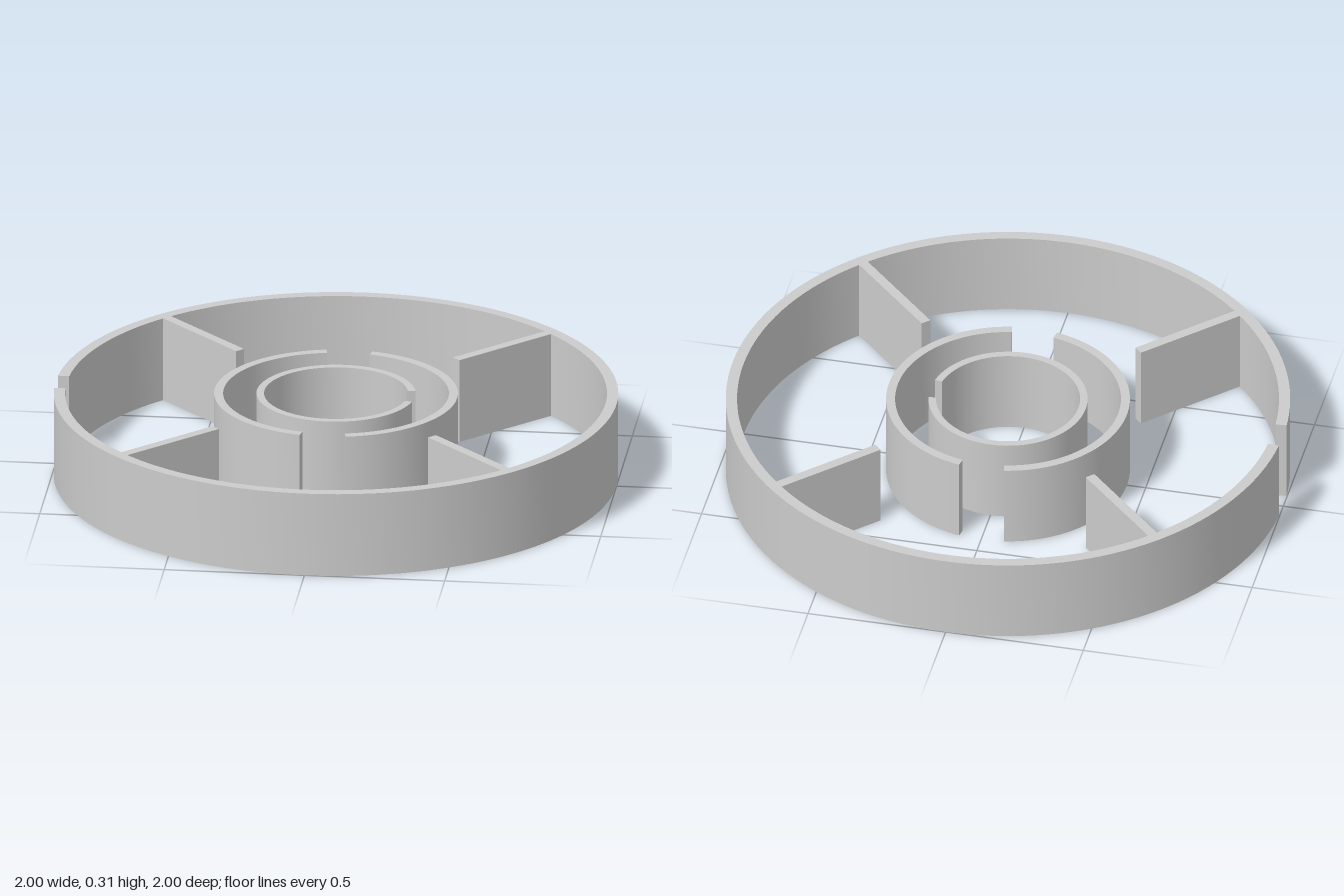
import * as THREE from 'three';
import { toCreasedNormals } from 'three/addons/utils/BufferGeometryUtils.js';

const HEIGHT = 0.31;
const material = new THREE.MeshStandardMaterial({ color: 0xcccccc });

// Upright curved wall between two radii, swept from angle a0 to a1 (radians, seen from above)
function arcWall(name, inner, outer, a0, a1) {
  const shape = new THREE.Shape();
  shape.absarc(0, 0, outer, a0, a1, false);
  shape.absarc(0, 0, inner, a1, a0, true);
  const extruded = new THREE.ExtrudeGeometry(shape, {
    depth: HEIGHT, bevelEnabled: false, curveSegments: Math.ceil((a1 - a0) * 11),
  });
  extruded.rotateX(-Math.PI / 2);
  const mesh = new THREE.Mesh(toCreasedNormals(extruded, Math.PI / 6), material);
  mesh.name = name;
  return mesh;
}

export function createModel() {
  const group = new THREE.Group();
  group.name = 'circularMaze';

  // Outer wall, open on the -x side
  const outerGap = 0.062;
  group.add(arcWall('outerWall', 0.96, 1, -Math.PI + outerGap, Math.PI - outerGap));

  // Middle wall in two halves, open at front and back
  const midGap = 0.19;
  group.add(arcWall('middleWallLeft', 0.4, 0.432, -Math.PI / 2 + midGap, Math.PI / 2 - midGap));
  group.add(arcWall('middleWallRight', 0.4, 0.432, Math.PI / 2 + midGap, Math.PI * 1.5 - midGap));

  // Inner wall, open on the +x side
  const innerGap = 0.19;
  group.add(arcWall('innerWall', 0.255, 0.282, innerGap, Math.PI * 2 - innerGap));

  // Four diagonal partitions reaching inward from the outer wall
  const r0 = 0.545, r1 = 0.975;
  for (let i = 0; i < 4; i++) {
    const geometry = new THREE.BoxGeometry(r1 - r0, HEIGHT, 0.036);
    geometry.translate((r0 + r1) / 2, HEIGHT / 2, 0);
    const partition = new THREE.Mesh(geometry, material);
    partition.rotation.y = Math.PI / 4 + i * Math.PI / 2;
    partition.name = `partition${i + 1}`;
    group.add(partition);
  }
  return group;
}
